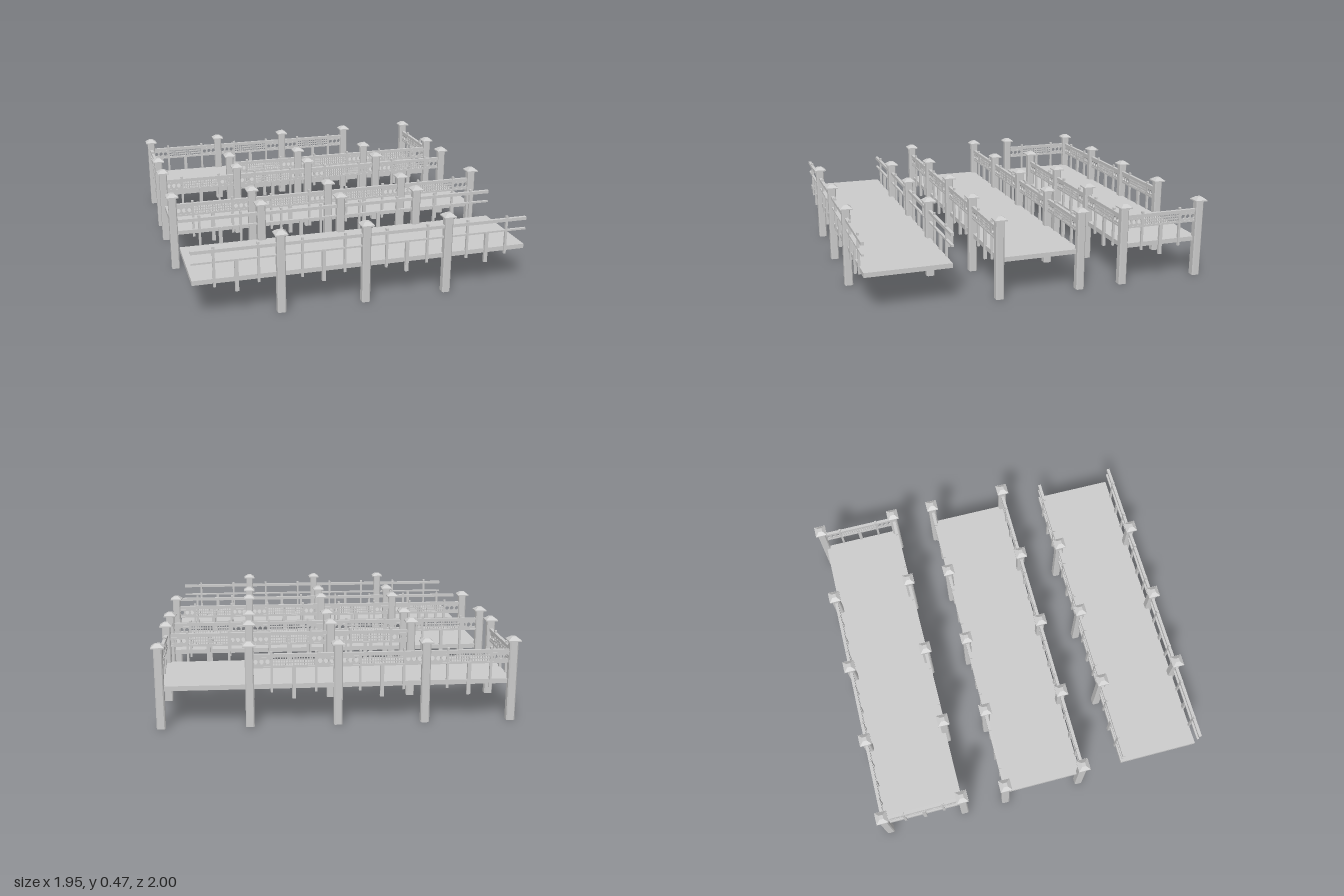
import * as THREE from 'three';

const material = new THREE.MeshStandardMaterial({ color: 0xcccccc, flatShading: true });
const BAY = 0.47, END = 0.94;

function add(parent, name, geometry, x = 0, y = 0, z = 0) {
  const mesh = new THREE.Mesh(geometry, material);
  mesh.name = name;
  mesh.position.set(x, y, z);
  parent.add(mesh);
  return mesh;
}

// Box given by its vertical span
function bar(parent, name, w, y0, y1, d, x = 0, z = 0) {
  return add(parent, name, new THREE.BoxGeometry(w, y1 - y0, d), x, (y0 + y1) / 2, z);
}

// Pierced panel: rectangle with rows of holes; each hole is a list of corners in -0.5..0.5
function panelGeometry(w, h, cols, rows, holeW, holeH, corners) {
  const s = new THREE.Shape();
  s.moveTo(-w / 2, -h / 2).lineTo(w / 2, -h / 2).lineTo(w / 2, h / 2).lineTo(-w / 2, h / 2).closePath();
  for (let r = 0; r < rows; r++) {
    for (let c = 0; c < cols; c++) {
      const cx = ((c + 0.5) / cols - 0.5) * w, cy = ((r + 0.5) / rows - 0.5) * h;
      s.holes.push(new THREE.Path(corners.map(([u, v]) => new THREE.Vector2(cx + u * holeW, cy + v * holeH))));
    }
  }
  const g = new THREE.ExtrudeGeometry(s, { depth: 0.008, bevelEnabled: false });
  return g.translate(0, 0, -0.004);
}
const octagon = [[-0.5, -0.2], [-0.5, 0.2], [-0.2, 0.5], [0.2, 0.5], [0.5, 0.2], [0.5, -0.2], [0.2, -0.5], [-0.2, -0.5]];
const square = [[-0.5, -0.5], [-0.5, 0.5], [0.5, 0.5], [0.5, -0.5]];
const sidePanel = panelGeometry(0.094, 0.046, 3, 1, 0.023, 0.025, octagon);
const fretPanel = panelGeometry(0.111, 0.048, 8, 3, 0.009, 0.010, square);

// Post with chamfered corners
const a = 0.023, b = 0.017;
const postShape = new THREE.Shape([[a, -b], [a, b], [b, a], [-b, a], [-a, b], [-a, -b], [-b, -a], [b, -a]]
  .map(([x, y]) => new THREE.Vector2(x, y)));
const postGeometry = new THREE.ExtrudeGeometry(postShape, { depth: 0.442, bevelEnabled: false }).rotateX(-Math.PI / 2);
const square4 = (rTop, rBottom, h) =>
  new THREE.CylinderGeometry(rTop * Math.SQRT2, rBottom * Math.SQRT2, h, 4).rotateY(Math.PI / 4);
const eaveGeometry = square4(0.035, 0.035, 0.007);
const roofGeometry = square4(0.012, 0.034, 0.017);

function makePost(parent, x, z) {
  const post = new THREE.Group();
  post.name = 'post';
  post.position.set(x, 0, z);
  add(post, 'postShaft', postGeometry);
  add(post, 'capEave', eaveGeometry, 0, 0.4445, 0);
  add(post, 'capRoof', roofGeometry, 0, 0.4565, 0);
  parent.add(post);
}

// One bay of railing, running along its own x axis
function makeBay(parent, x, z, pierced, turn = 0) {
  const bay = new THREE.Group();
  bay.name = 'railingBay';
  bay.position.set(x, 0, z);
  bay.rotation.y = turn;
  bar(bay, 'topRail', BAY, 0.378, 0.396, 0.018);
  bar(bay, 'lowerRail', BAY, 0.32, 0.33, 0.014);
  for (const s of [-1, 1]) {
    bar(bay, 'baluster', 0.013, 0.185, 0.41, 0.013, s * BAY / 4);
    if (pierced) {
      add(bay, 'sidePanel', sidePanel, s * 0.17, 0.353, 0);
      add(bay, 'fretPanel', fretPanel, s * 0.057, 0.354, 0);
    }
  }
  bar(bay, 'centreBaluster', 0.02, 0.148, 0.325, 0.016);
  if (pierced) bar(bay, 'panelDivider', 0.006, 0.325, 0.38, 0.012);
  parent.add(bay);
}

// Deck with posts and railings on both long sides
function makeWalkway(name, zBack, zFront, { endPosts, pierced, skipBack = -1, skipFront = -1, closedEnds = false }) {
  const walkway = new THREE.Group();
  walkway.name = name;
  const mid = (zBack + zFront) / 2;
  bar(walkway, 'deck', END * 2, 0.204, 0.23, zFront - zBack, 0, mid);
  for (const [z, skip] of [[zBack, skipBack], [zFront, skipFront]]) {
    for (let i = 0; i < 5; i++) {
      if (endPosts || (i > 0 && i < 4)) makePost(walkway, -END + i * BAY, z);
      if (i < 4 && i !== skip) makeBay(walkway, -END + (i + 0.5) * BAY, z, pierced);
    }
  }
  if (closedEnds) for (const s of [-1, 1]) makeBay(walkway, s * END, mid, pierced, Math.PI / 2);
  return walkway;
}

export function createModel() {
  const model = new THREE.Group();
  model.name = 'walkways';
  model.add(
    makeWalkway('openWalkway', 0.492, 0.965, { endPosts: false, pierced: false }),
    makeWalkway('straightWalkway', -0.235, 0.235, { endPosts: true, pierced: true }),
    // Enclosed at both ends, entered through opposite corners
    makeWalkway('cornerWalkway', -0.965, -0.495, { endPosts: true, pierced: true, skipBack: 3, skipFront: 0, closedEnds: true })
  );
  return model;
}
